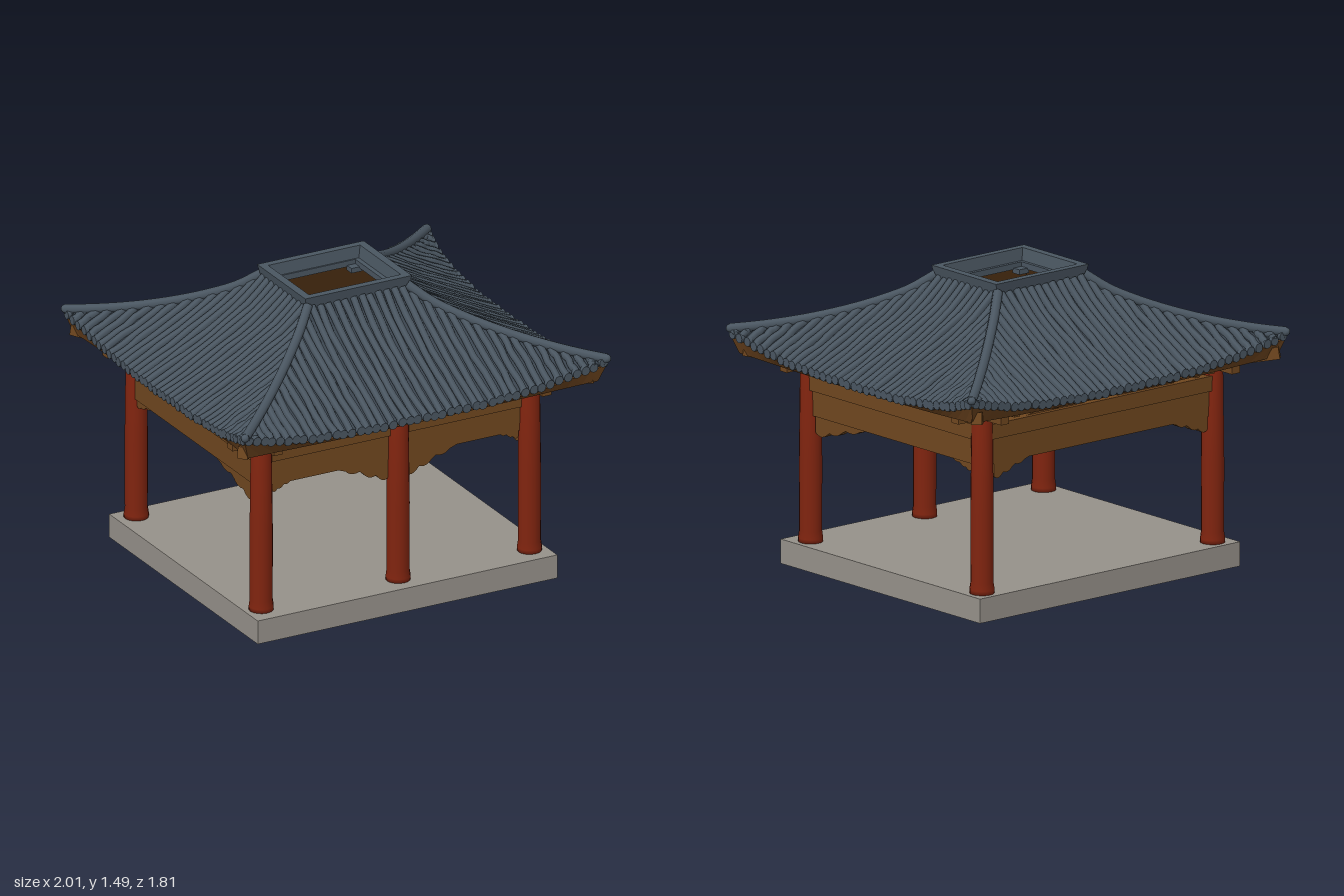
import * as THREE from 'three';
import { mergeGeometries } from 'three/addons/utils/BufferGeometryUtils.js';
import { ParametricGeometry } from 'three/addons/geometries/ParametricGeometry.js';

const material = (name, color, side = THREE.FrontSide) => {
  const m = new THREE.MeshStandardMaterial({ color, side });
  m.name = name;
  return m;
};
const { lerp } = THREE.MathUtils;

export function createModel() {
  const stone = material('stone', 0x96918a);
  const red = material('red lacquer', 0x80240f);
  const wood = material('brown wood', 0x70471f);
  const ceilingWood = material('ceiling wood', 0x6a421d, THREE.DoubleSide);
  const tile = material('slate tile', 0x4a5661);
  const groove = material('tile groove', 0x3a444e, THREE.DoubleSide);

  const model = new THREE.Group();
  model.name = 'pavilion';
  const add = (name, geometry, mat, x = 0, y = 0, z = 0, parent = model) => {
    const mesh = new THREE.Mesh(geometry, mat);
    mesh.name = name;
    mesh.position.set(x, y, z);
    parent.add(mesh);
    return mesh;
  };
  let seed = 7;
  const jitter = (size) => {
    seed = (seed * 16807) % 2147483647;
    return (seed / 2147483647 - 0.5) * 2 * size;
  };

  // Platform
  add('platform', new THREE.BoxGeometry(1.63, 0.12, 1.46), stone, -0.015, 0.06, 0);

  // Columns: four corners and one at the middle of the front
  const columnProfile = [[0, 0], [0.06, 0], [0.06, 0.025], [0.055, 0.06], [0.056, 0.4], [0.05, 0.91], [0, 0.91]]
    .map(([r, y]) => new THREE.Vector2(r, y));
  const columnGeometry = new THREE.LatheGeometry(columnProfile, 16);
  for (const [x, z] of [[-0.745, 0.61], [0, 0.61], [0.715, 0.61], [-0.73, -0.645], [0.715, -0.645]]) {
    add('column', columnGeometry, red, x, 0.115, z);
  }

  // Scalloped bracket hanging under a beam
  const bracketGeometry = (length, drop, dir) => {
    const s = new THREE.Shape();
    const p = (a, b) => [dir * a * length, -b * drop];
    s.moveTo(...p(0, -0.1));
    s.lineTo(...p(0, 0.85));
    s.quadraticCurveTo(...p(0.1, 1.15), ...p(0.2, 0.85));
    s.lineTo(...p(0.25, 0.7));
    s.quadraticCurveTo(...p(0.38, 0.85), ...p(0.48, 0.5));
    s.lineTo(...p(0.55, 0.35));
    s.quadraticCurveTo(...p(0.7, 0.5), ...p(0.8, 0.2));
    s.lineTo(...p(1, 0));
    s.lineTo(...p(1, -0.1));
    const g = new THREE.ExtrudeGeometry(s, { depth: 0.04, bevelEnabled: false, curveSegments: 5 });
    return g.translate(0, 0, -0.02);
  };

  // Beam wall along local x, with its outside facing local +z
  const beamWall = (name, length, x, z, angle, brackets) => {
    const wall = new THREE.Group();
    wall.name = name;
    wall.position.set(x, 0, z);
    wall.rotation.y = angle;
    model.add(wall);
    add('lowerBeam', new THREE.BoxGeometry(length, 0.13, 0.05), wood, 0, 0.815, 0, wall);
    add('upperBeam', new THREE.BoxGeometry(length + 0.04, 0.075, 0.075), wood, 0, 0.913, 0, wall);
    add('eavePlate', new THREE.BoxGeometry(length + 0.16, 0.03, 0.06), wood, 0, 1.012, 0, wall);
    for (const [bx, l, d, dir] of brackets) {
      add('scallopBracket', bracketGeometry(l, d, dir), wood, bx, 0.755, 0, wall);
    }
    // Small posts and outward arms between beam and eave
    for (let i = 0; i < 6; i++) {
      const px = (i / 5 - 0.5) * (length - 0.24);
      add('strut', new THREE.BoxGeometry(0.025, 0.06, 0.03), wood, px, 0.975, 0, wall);
      add('eaveArm', new THREE.BoxGeometry(0.035, 0.03, 0.16), wood, px, 1.005, 0.04, wall);
    }
    // Low wedges resting on the beam
    for (const dir of [-1, 1]) {
      const s = new THREE.Shape();
      s.moveTo(dir * 0.08, 0.945);
      s.lineTo(dir * 0.5, 0.945);
      s.lineTo(dir * 0.24, 0.985);
      const g = new THREE.ExtrudeGeometry(s, { depth: 0.03, bevelEnabled: false });
      add('wedge', g.translate(0, 0, -0.015), wood, 0, 0, 0, wall);
    }
  };
  beamWall('frontBeams', 1.46, -0.0125, 0.585, 0,
    [[-0.67, 0.12, 0.045, 1], [-0.03, 0.3, 0.11, -1], [0.055, 0.3, 0.11, 1], [0.67, 0.12, 0.045, -1]]);
  beamWall('backBeams', 1.46, -0.0125, -0.645, Math.PI,
    [[-0.67, 0.24, 0.08, 1], [0.67, 0.24, 0.08, -1]]);
  beamWall('leftBeams', 1.24, 0.715, -0.02, Math.PI / 2,
    [[-0.57, 0.4, 0.1, 1], [0.57, 0.16, 0.045, -1]]);
  beamWall('rightBeams', 1.24, -0.735, -0.02, -Math.PI / 2,
    [[0.57, 0.4, 0.1, -1], [-0.57, 0.16, 0.045, 1]]);

  // Corner brackets below the eaves
  for (const [x, z] of [[-0.745, 0.61], [0.715, 0.61], [-0.73, -0.645], [0.715, -0.645]]) {
    const sx = Math.sign(x), sz = Math.sign(z);
    add('cornerArmX', new THREE.BoxGeometry(0.28, 0.035, 0.05), wood, x + sx * 0.03, 1.0, z);
    add('cornerArmZ', new THREE.BoxGeometry(0.05, 0.035, 0.28), wood, x, 1.0, z + sz * 0.03);
    const hip = add('hipBeam', new THREE.BoxGeometry(0.05, 0.06, 0.36), wood, x + sx * 0.1, 1.035, z + sz * 0.1);
    hip.rotation.order = 'YXZ';
    hip.rotation.set(-0.15, Math.atan2(sx, sz), 0);
  }

  // Curved roof: t runs from the top ring to the eave, u along the eave
  const height = (u, t) => 1.43 - 0.385 * t ** 0.78 + 0.105 * t * t * Math.abs(u) ** 3;
  const sides = [
    { name: 'front', alongX: true, sign: 1 }, { name: 'back', alongX: true, sign: -1 },
    { name: 'left', alongX: false, sign: 1 }, { name: 'right', alongX: false, sign: -1 },
  ];
  const halfX = (t) => lerp(0.27, 0.985, t);
  const halfZ = (t) => lerp(0.225, 0.885, t);
  const roofPoint = (side, u, t, y, target = new THREE.Vector3()) => {
    const inset = 0.045 * t * (1 - u ** 4);
    const shift = -0.015 * (1 - t);
    return side.alongX
      ? target.set(u * halfX(t), y, side.sign * (halfZ(t) - inset) + shift)
      : target.set(side.sign * (halfX(t) - inset), y, u * halfZ(t) + shift);
  };

  // Underside: straight ceiling up to the ring, then soffit and eave board
  const soffitRows = [0, 0.36, 0.72, 0.955, 1];
  const soffitPoint = (side, u, v, target) => {
    const row = Math.round(v * 4);
    const t = soffitRows[row];
    let y = lerp(1.4, 1.0, t / 0.72);
    if (row === 3) y = 1.008 + 0.03 * Math.abs(u) ** 3;
    if (row === 4) y = height(u, 1) - 0.02;
    roofPoint(side, u, t, y, target);
  };

  for (const side of sides) {
    add(side.name + 'RoofBed', new ParametricGeometry((a, t, target) =>
      roofPoint(side, a * 2 - 1, t, height(a * 2 - 1, t) - 0.008, target), 24, 12), groove);
    add(side.name + 'Ceiling', new ParametricGeometry((a, v, target) =>
      soffitPoint(side, a * 2 - 1, v, target), 24, 4).toNonIndexed(), ceilingWood).geometry.computeVertexNormals();

    // Rows of slightly uneven round tiles, cut off at the hips
    const half = side.alongX ? halfX : halfZ;
    const count = side.alongX ? 44 : 40;
    const parts = [];
    for (let i = 0; i < count; i++) {
      const a = ((i + 0.5) / count * 2 - 1) * half(1);
      const start = Math.max(0, (Math.abs(a) - half(0)) / (half(1) - half(0)));
      const points = [];
      for (let k = 0; k <= 6; k++) {
        const t = lerp(start, 1, k / 6);
        const u = THREE.MathUtils.clamp(a / half(t), -1, 1);
        const p = roofPoint(side, u, t, height(u, t) + jitter(0.004));
        p[side.alongX ? 'x' : 'z'] += jitter(0.005);
        points.push(p);
      }
      parts.push(new THREE.TubeGeometry(new THREE.CatmullRomCurve3(points), 10, 0.019, 6));
      // Round end tile
      const end = points[6];
      const cap = new THREE.CylinderGeometry(0.023, 0.023, 0.02, 10);
      if (side.alongX) cap.rotateX(Math.PI / 2);
      else cap.rotateZ(Math.PI / 2);
      parts.push(cap.translate(end.x, end.y - 0.004, end.z));
    }
    add(side.name + 'Tiles', mergeGeometries(parts), tile);
  }

  // Hip ridges with upturned ends
  for (const side of sides.slice(0, 2)) {
    for (const u of [-1, 1]) {
      const points = [];
      for (let k = 0; k <= 8; k++) points.push(roofPoint(side, u, k / 8, height(u, k / 8) + 0.01));
      add('hipRidge', new THREE.TubeGeometry(new THREE.CatmullRomCurve3(points), 20, 0.024, 8), tile);
      const tip = points[8];
      add('ridgeEnd', new THREE.SphereGeometry(0.02, 10, 8), tile, tip.x, tip.y, tip.z);
    }
  }

  // Open frame on top, flared outward, with an inner ledge
  const frame = (w, d, holeW, holeD, h) => {
    const rect = (path, a, b) => path.moveTo(-a, -b).lineTo(a, -b).lineTo(a, b).lineTo(-a, b).closePath();
    const s = rect(new THREE.Shape(), w, d);
    s.holes.push(rect(new THREE.Path(), holeW, holeD));
    return new THREE.ExtrudeGeometry(s, { depth: h, bevelEnabled: false }).rotateX(-Math.PI / 2);
  };
  const ring = frame(0.29, 0.237, 0.25, 0.2, 0.065);
  const pos = ring.attributes.position;
  for (let i = 0; i < pos.count; i++) {
    const k = pos.getY(i) < 0.01 ? 0.95 : 1;
    pos.setXYZ(i, pos.getX(i) * k, pos.getY(i), pos.getZ(i) * k);
  }
  ring.computeVertexNormals();
  add('topFrame', ring, tile, 0, 1.42, -0.015);
  add('topLedge', frame(0.27, 0.22, 0.218, 0.178, 0.03), tile, -0.003, 1.395, -0.02);
  for (const sx of [-1, 1]) for (const sz of [-1, 1]) {
    add('ledgeCorner', new THREE.BoxGeometry(0.06, 0.025, 0.05), tile, sx * 0.2, 1.39, -0.02 + sz * 0.16);
  }
  return model;
}
